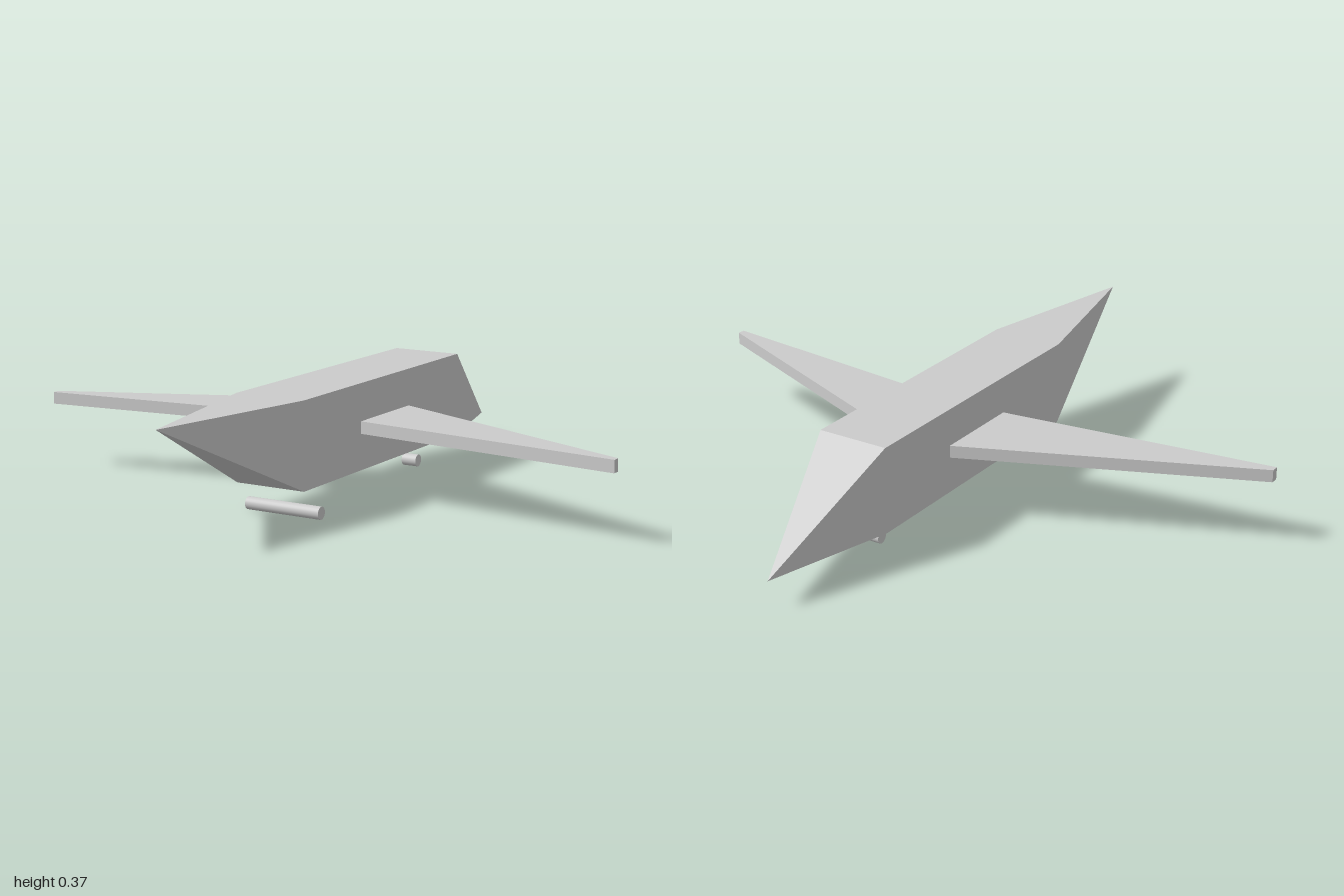
import * as THREE from 'three';

const flat = new THREE.MeshStandardMaterial({ color: 0xcccccc, flatShading: true });
const smooth = new THREE.MeshStandardMaterial({ color: 0xcccccc });

function add(group, name, geometry, material) {
  const mesh = new THREE.Mesh(geometry, material);
  mesh.name = name;
  group.add(mesh);
  return mesh;
}

// Rectangular cross-sections from nose to tail: [z, half width, bottom y, top y]
function fuselageGeometry() {
  const rings = [
    [0.965, 0, 0.373, 0.373],
    [0.4, 0.118, 0.1, 0.373],
    [-0.56, 0.115, 0.1, 0.373],
    [-0.97, 0, 0.094, 0.094],
  ].map(([z, w, y0, y1]) =>
    [[w, y0], [w, y1], [-w, y1], [-w, y0]].map(([x, y]) => new THREE.Vector3(x, y, z)));
  const points = [];
  const triangle = (a, b, c) => {
    // Pointed ends collapse some triangles; leave those out
    if (new THREE.Triangle(a, b, c).getArea() > 1e-8) points.push(a, b, c);
  };
  for (let i = 0; i < rings.length - 1; i++) {
    const front = rings[i], back = rings[i + 1];
    for (let k = 0; k < 4; k++) {
      const n = (k + 1) % 4;
      triangle(front[k], back[k], back[n]);
      triangle(front[k], back[n], front[n]);
    }
  }
  const geometry = new THREE.BufferGeometry().setFromPoints(points);
  geometry.computeVertexNormals();
  return geometry;
}

// Swept, tapered slab; side is +1 or -1
function wingGeometry(side) {
  const outline = [[0.115, -0.23], [0.115, 0.07], [1, 0.172], [1, 0.147]];
  const shape = new THREE.Shape(outline.map(([x, z]) => new THREE.Vector2(side * x, -z)));
  return new THREE.ExtrudeGeometry(shape, { depth: 0.039, bevelEnabled: false })
    .rotateX(-Math.PI / 2)
    .translate(0, 0.215, 0);
}

export function createModel() {
  const model = new THREE.Group();
  model.name = 'airplane';

  add(model, 'fuselage', fuselageGeometry(), flat);
  add(model, 'leftWing', wingGeometry(1), flat);
  add(model, 'rightWing', wingGeometry(-1), flat);

  // Wide front roller and short tail roller
  for (const [name, length, z] of [['frontWheel', 0.26, 0.323], ['tailWheel', 0.052, -0.46]]) {
    const wheel = add(model, name, new THREE.CylinderGeometry(0.02, 0.02, length, 24), smooth);
    wheel.rotation.z = Math.PI / 2;
    wheel.position.set(0, 0.02, z);
  }
  return model;
}
